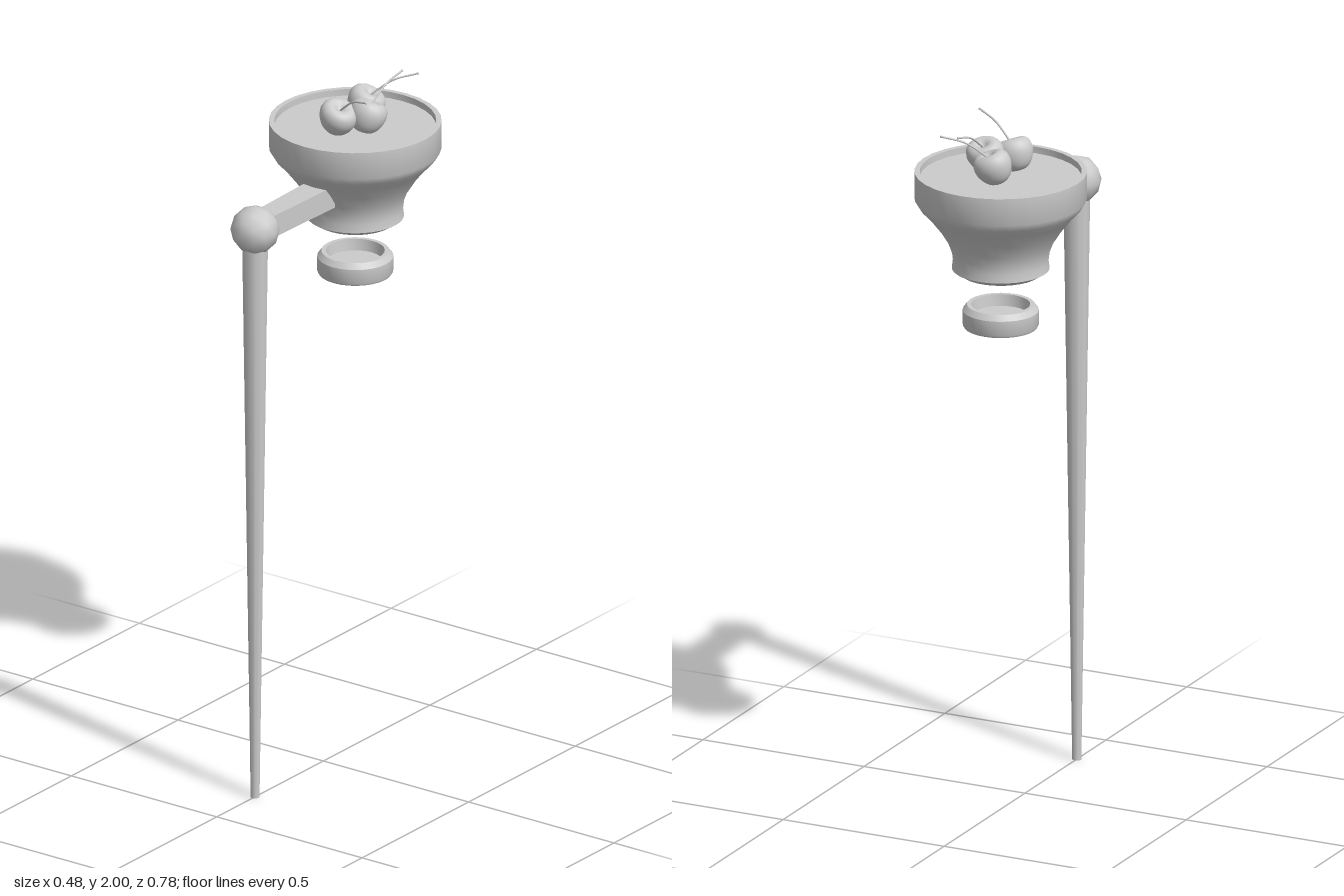
import * as THREE from 'three';
import { toCreasedNormals } from 'three/addons/utils/BufferGeometryUtils.js';

const grey = () => new THREE.MeshStandardMaterial({ color: 0xcccccc });

function add(parent, name, geometry, x = 0, y = 0, z = 0) {
  const mesh = new THREE.Mesh(geometry, grey());
  mesh.name = name;
  mesh.position.set(x, y, z);
  parent.add(mesh);
  return mesh;
}

// Profile of [radius, height] pairs turned about the vertical axis, with sharp corners kept
function turned(profile, sides) {
  const points = profile.map(([r, y]) => new THREE.Vector2(r, y));
  return toCreasedNormals(new THREE.LatheGeometry(points, sides), 0.6);
}

// Heart-shaped fruit: narrower below, dimpled around the stem
function cherryGeometry() {
  const profile = [
    [0, -0.047], [0.02, -0.044], [0.036, -0.031], [0.047, -0.01], [0.051, 0.012],
    [0.046, 0.032], [0.033, 0.043], [0.018, 0.042], [0.007, 0.034], [0, 0.031],
  ].map(([r, y]) => new THREE.Vector2(r, y));
  return new THREE.LatheGeometry(new THREE.SplineCurve(profile).getPoints(22).map(
    (p) => new THREE.Vector2(Math.max(p.x, 0), p.y)), 20);
}

export function createModel() {
  const model = new THREE.Group();
  const bowlZ = -0.15;

  // Tapered stand and ball joint
  add(model, 'pole', new THREE.CylinderGeometry(0.038, 0.013, 1.69, 10), 0, 0.845, 0.32);
  add(model, 'ballJoint', new THREE.IcosahedronGeometry(0.069, 1), 0, 1.705, 0.32);

  // Arm, slightly wider where it meets the bowl
  const arm = new THREE.BoxGeometry(1, 0.065, 0.3);
  const p = arm.attributes.position;
  for (let i = 0; i < p.count; i++) p.setX(i, p.getX(i) * (p.getZ(i) > 0 ? 0.064 : 0.08));
  arm.computeVertexNormals();
  add(model, 'arm', arm, 0, 1.706, 0.15);

  // Funnel bowl: hollow neck, outer wall, rim and the surface inside
  add(model, 'bowl', turned([
    [0, 1.8], [0.17, 1.8], [0.1, 1.68], [0.093, 1.577],
    [0.112, 1.577], [0.136, 1.592], [0.133, 1.615], [0.136, 1.64], [0.147, 1.67],
    [0.172, 1.71], [0.203, 1.75], [0.227, 1.775], [0.24, 1.797], [0.24, 1.876],
    [0.225, 1.876], [0.225, 1.857], [0, 1.857],
  ], 32), 0, 0, bowlZ);

  // Separate collar below the neck, recessed on both faces
  add(model, 'collar', turned([
    [0, 1.447], [0.075, 1.447], [0.08, 1.42], [0.102, 1.42], [0.106, 1.427],
    [0.106, 1.469], [0.094, 1.485], [0.082, 1.485], [0.078, 1.452], [0, 1.452],
  ], 28), 0, 0, bowlZ);

  // Three cherries, each leaning towards its curved stem
  const fruit = new THREE.Group();
  fruit.name = 'cherries';
  model.add(fruit);
  const geometry = cherryGeometry();
  [
    { at: [-0.008, 1.904, -0.208], lean: [0.4, 1, -0.15], tip: [0.117, 2.0, -0.284] },
    { at: [0.054, 1.907, -0.132], lean: [0.1, 1, -0.4], tip: [0.07, 2.0, -0.274] },
    { at: [-0.008, 1.904, -0.078], lean: [0.4, 1, 0.15], tip: [0.128, 2.0, -0.025] },
  ].forEach(({ at, lean, tip }) => {
    const centre = new THREE.Vector3(...at);
    const axis = new THREE.Vector3(...lean).normalize();
    const end = new THREE.Vector3(...tip);
    const cherry = add(fruit, 'cherry', geometry, ...at);
    cherry.quaternion.setFromUnitVectors(new THREE.Vector3(0, 1, 0), axis);
    cherry.scale.set(1.08, 1, 0.98);

    const base = centre.clone().addScaledVector(axis, 0.028);
    const middle = base.clone().lerp(end, 0.5);
    middle.y += 0.014;
    const path = new THREE.CatmullRomCurve3([base, middle, end]);
    add(fruit, 'stem', new THREE.TubeGeometry(path, 12, 0.0028, 6));
    add(fruit, 'stemTip', new THREE.IcosahedronGeometry(0.0036, 1), ...tip);
  });

  return model;
}
